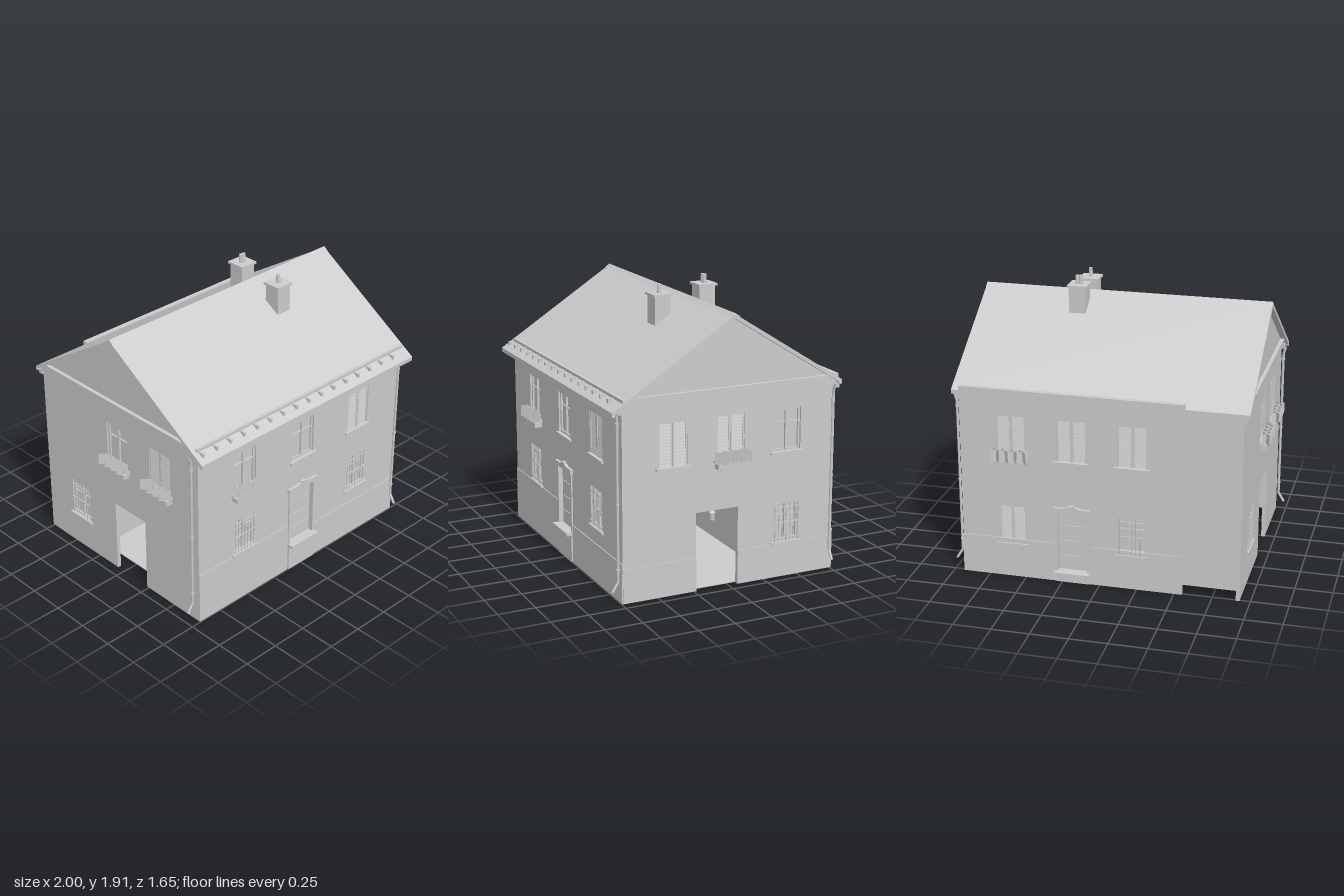
import * as THREE from 'three';

const grey = new THREE.MeshStandardMaterial({ color: 0xcccccc });
const thin = new THREE.MeshStandardMaterial({ color: 0xcccccc, side: THREE.DoubleSide });

function add(parent, name, geo, x = 0, y = 0, z = 0, mat = grey) {
  const m = new THREE.Mesh(geo, mat);
  m.name = name;
  m.position.set(x, y, z);
  parent.add(m);
  return m;
}

// Box given by its limits on each axis
function box(parent, name, x0, x1, y0, y1, z0, z1) {
  return add(parent, name, new THREE.BoxGeometry(x1 - x0, y1 - y0, z1 - z0),
    (x0 + x1) / 2, (y0 + y1) / 2, (z0 + z1) / 2);
}

const points = (pts) => pts.map((p) => new THREE.Vector2(p[0], p[1]));
const shapeOf = (pts) => new THREE.Shape(points(pts));
const rectPath = (u, w, y0, y1) => new THREE.Path(points([[u - w, y0], [u + w, y0], [u + w, y1], [u - w, y1]]));

// Wall slab whose outer face lies on local z = 0, pierced by its openings
function wall(parent, outline, openings) {
  const s = shapeOf(outline);
  openings.forEach((o) => s.holes.push(rectPath(o.u, o.w, o.y0, o.y1)));
  add(parent, 'wall', new THREE.ExtrudeGeometry(s, { depth: 0.025, bevelEnabled: false }), 0, 0, -0.025);
}

// Glazed casement: recessed pane, frame and glazing bars
function panes(g, { u, w, y0, y1 }) {
  box(g, 'pane', u - w, u + w, y0, y1, -0.03, -0.024);
  for (const s of [-1, 1]) {
    const c = u + s * (w - 0.007);
    box(g, 'frameSide', c - 0.007, c + 0.007, y0, y1, -0.025, -0.012);
  }
  box(g, 'frameTop', u - w, u + w, y1 - 0.014, y1, -0.025, -0.012);
  box(g, 'frameBottom', u - w, u + w, y0, y0 + 0.014, -0.025, -0.012);
  box(g, 'mullion', u - 0.007, u + 0.007, y0, y1, -0.025, -0.01);
  const t = y0 + (y1 - y0) * 0.68;
  box(g, 'glazingBar', u - w, u + w, t - 0.004, t + 0.004, -0.025, -0.013);
}

// Pair of closed louvred shutters
function shutters(g, { u, w, y0, y1 }) {
  box(g, 'shutterBack', u - w, u + w, y0, y1, -0.03, -0.014);
  for (const s of [-1, 1]) {
    const c = u + s * w / 2, h = w / 2;
    for (const e of [-1, 1]) {
      const k = c + e * (h - 0.006);
      box(g, 'shutterStile', k - 0.005, k + 0.005, y0, y1, -0.022, -0.004);
    }
    const n = Math.round((y1 - y0) / 0.022);
    for (let i = 0; i < n; i++) {
      const y = y0 + (i + 0.5) * (y1 - y0) / n;
      const slat = box(g, 'shutterSlat', c - h + 0.008, c + h - 0.008, y - 0.009, y + 0.009, -0.012, -0.008);
      slat.rotation.x = -0.25;
    }
  }
}

// Iron grille in front of a casement
function grille(g, o) {
  panes(g, o);
  for (let i = 0; i < 7; i++) {
    const x = o.u + (i / 6 - 0.5) * (o.w * 2 - 0.02);
    add(g, 'grilleBar', new THREE.CylinderGeometry(0.0035, 0.0035, o.y1 - o.y0, 6), x, (o.y0 + o.y1) / 2, 0.005);
  }
  for (const f of [0.1, 0.5, 0.9]) {
    const y = o.y0 + f * (o.y1 - o.y0);
    box(g, 'grilleRail', o.u - o.w, o.u + o.w, y - 0.003, y + 0.003, 0.001, 0.009);
  }
}

// Window box: tray, brackets and crossed foliage cards
function flowerBox(g, u) {
  box(g, 'flowerTray', u - 0.11, u + 0.11, 0.8, 0.835, 0, 0.05);
  for (const s of [-1, 1]) box(g, 'flowerBracket', u + s * 0.08 - 0.005, u + s * 0.08 + 0.005, 0.79, 0.8, 0, 0.045);
  for (let i = 0; i < 4; i++) {
    for (const r of [0.75, -0.75]) {
      const card = add(g, 'foliage', new THREE.PlaneGeometry(0.078, 0.08), u + (i - 1.5) * 0.059, 0.87, 0.04, thin);
      card.rotation.y = r;
    }
  }
}

// Panelled door with transom, surround, crown and doorstep
function door(g, { u, w, y0, y1 }) {
  box(g, 'doorLeaf', u - w, u + w, y0, y1, -0.03, -0.022);
  box(g, 'transom', u - w + 0.02, u + w - 0.02, y1 - 0.07, y1 - 0.015, -0.022, -0.016);
  const h = y1 - y0 - 0.1;
  for (let i = 0; i < 3; i++) {
    const y = y0 + 0.015 + i * h / 3;
    box(g, 'doorPanel', u - w + 0.025, u + w - 0.025, y, y + h / 3 - 0.02, -0.022, -0.017);
  }
  for (const s of [-1, 1]) {
    const c = u + s * (w + 0.006);
    box(g, 'doorJamb', c - 0.008, c + 0.008, y0, y1, -0.03, 0.01);
  }
  const crown = shapeOf([[-w - 0.025, 0], [w + 0.025, 0], [w + 0.025, 0.03], [0.055, 0.03], [0.035, 0.04],
    [0.02, 0.04], [0.02, 0.05], [-0.02, 0.05], [-0.02, 0.04], [-0.035, 0.04], [-0.055, 0.03], [-w - 0.025, 0.03]]);
  add(g, 'doorCrown', new THREE.ExtrudeGeometry(crown, { depth: 0.045, bevelEnabled: false }), u, y1, -0.025);
  box(g, 'doorstep', u - w - 0.018, u + w + 0.018, y0 - 0.02, y0, -0.03, 0.05);
  box(g, 'stepBase', u - w - 0.01, u + w + 0.01, 0, y0 - 0.02, -0.02, 0.012);
}

const makers = { panes, shutters, grille, door };
const upper = (u, type, flowers) => ({ u, w: 0.1, y0: 0.85, y1: 1.13, type, flowers });
const lower = (u, type, y0 = 0.24) => ({ u, w: 0.092, y0, y1: y0 + 0.26, type });

// One elevation, turned to face outwards; plinths are [from, to, height]
function facade(root, name, x, z, turn, outline, openings, plinths) {
  const g = new THREE.Group();
  g.name = name;
  g.position.set(x, 0, z);
  g.rotation.y = turn;
  wall(g, outline, openings);
  for (const o of openings) {
    makers[o.type](g, o);
    if (o.type !== 'door') box(g, 'sill', o.u - o.w - 0.018, o.u + o.w + 0.018, o.y0 - 0.014, o.y0, -0.03, 0.016);
    if (o.flowers) flowerBox(g, o.u);
  }
  plinths.forEach(([u0, u1, h]) => box(g, 'plinth', u0, u1, 0, h, -0.02, 0.006));
  root.add(g);
}

// Downpipe with a kicked-out foot; (dx, dz) points away from the wall
function downpipe(root, x, z, dx, dz) {
  const at = (d, y) => new THREE.Vector3(x + dx * d, y, z + dz * d);
  const path = new THREE.CurvePath();
  const pts = [at(0.035, 1.25), at(0.02, 1.2), at(0.02, 0.14), at(0.06, 0.075)];
  for (let i = 0; i < 3; i++) path.add(new THREE.LineCurve3(pts[i], pts[i + 1]));
  add(root, 'downpipe', new THREE.TubeGeometry(path, 60, 0.009, 8), 0, 0, 0, thin);
  for (const y of [0.22, 0.65, 1.16]) {
    add(root, 'pipeClip', new THREE.CylinderGeometry(0.013, 0.013, 0.01, 8), x + dx * 0.02, y, z + dz * 0.02);
  }
}

function chimney(root, x, z, base, top, potTop, pots) {
  const g = new THREE.Group();
  g.name = 'chimney';
  box(g, 'stack', x - 0.056, x + 0.056, base, top, z - 0.056, z + 0.056);
  box(g, 'chimneyCap', x - 0.067, x + 0.067, top, top + 0.015, z - 0.067, z + 0.067);
  pots.forEach((d) => add(g, 'chimneyPot', new THREE.CylinderGeometry(0.013, 0.015, potTop - top, 12), x + d, (top + potTop) / 2, z));
  root.add(g);
}

// Profile in (-z, y) run along the ridge
function alongRidge(root, name, profile) {
  const geo = new THREE.ExtrudeGeometry(shapeOf(profile), { depth: 1.94, bevelEnabled: false });
  add(root, name, geo, -0.97).rotation.y = Math.PI / 2;
}

function gutter(root, y, z) {
  const geo = new THREE.CylinderGeometry(0.011, 0.011, 1.94, 10);
  add(root, 'gutter', geo, 0, y, z).rotation.z = Math.PI / 2;
}

export function createModel() {
  const root = new THREE.Group();
  root.name = 'house';

  // Elevations
  const W = 0.93;
  facade(root, 'frontFacade', 0, 0.74, 0, [[-W, 0], [W, 0], [W, 1.27], [-W, 1.27]], [
    upper(-0.53, 'panes', true), upper(0, 'panes'), upper(0.53, 'shutters'),
    lower(-0.53, 'grille', 0.375), lower(0.53, 'grille', 0.375),
    { u: 0, w: 0.108, y0: 0.21, y1: 0.62, type: 'door' },
  ], [[-W, -0.125, 0.364], [0.125, W, 0.262]]);
  facade(root, 'backFacade', 0, -0.76, Math.PI, [[-W, 0], [0.55, 0], [0.55, 0.07], [W, 0.07], [W, 1.27], [-W, 1.27]], [
    upper(-0.585, 'shutters', true), upper(-0.18, 'shutters'), upper(0.22, 'shutters'),
    lower(-0.585, 'shutters'), lower(0.22, 'grille'),
    { u: -0.18, w: 0.1, y0: 0.08, y1: 0.5, type: 'door' },
  ], [[-W, -0.29, 0.27], [-0.07, 0.55, 0.27]]);
  // Gable ends, each with the gateway cut from its foot
  const gable = (g0, g1, l, r, apex) => [[l, 0], [g0, 0], [g0, 0.523], [g1, 0.523], [g1, 0], [r, 0], [r, 1.285], [apex, 1.76], [l, 1.285]];
  facade(root, 'leftFacade', W, 0, Math.PI / 2, gable(-0.233, 0.063, -0.74, 0.76, 0.01), [
    upper(-0.395, 'shutters'), upper(0.005, 'shutters', true), upper(0.41, 'panes'), lower(0.415, 'grille'),
  ], [[-0.74, -0.233, 0.228], [0.063, 0.76, 0.228]]);
  facade(root, 'rightFacade', -W, 0, -Math.PI / 2, gable(-0.063, 0.233, -0.76, 0.74, -0.01), [
    upper(-0.02, 'panes', true), upper(0.39, 'shutters', true), lower(-0.42, 'grille'),
  ], []);

  // Carriage passage through the house
  box(root, 'passageFloor', -0.82, 0.9, 0, 0.006, -0.33, 0.28);
  box(root, 'passageCeiling', -0.9, 0.9, 0.56, 0.57, -0.33, 0.28);
  box(root, 'passageBackWall', -0.82, 0.9, 0, 0.56, -0.33, -0.32);
  box(root, 'passageFrontWall', -0.82, 0.9, 0, 0.56, 0.27, 0.28);

  // Lantern hanging in the gateway
  add(root, 'lanternHook', new THREE.CylinderGeometry(0.003, 0.003, 0.07, 6), 0.86, 0.53, 0.085);
  add(root, 'lantern', new THREE.CylinderGeometry(0.019, 0.019, 0.05, 6), 0.86, 0.46, 0.085);
  add(root, 'lanternRoof', new THREE.ConeGeometry(0.024, 0.018, 6), 0.86, 0.494, 0.085);

  // Roof and ridge
  alongRidge(root, 'roof', [[0.785, 1.288], [0.01, 1.78], [-0.82, 1.25], [-0.82, 1.222], [0.01, 1.752], [0.785, 1.26]]);
  alongRidge(root, 'ridgeCap', [[-0.02, 1.764], [0.045, 1.764], [0.01, 1.787]]);

  // Eaves cornices on all four sides
  box(root, 'frontCornice', -0.95, 0.95, 1.225, 1.255, 0.73, 0.775);
  box(root, 'backCornice', -0.95, 0.95, 1.23, 1.265, -0.78, -0.75);
  for (const s of [-1, 1]) {
    box(root, 'gableCornice', s * 0.935 - 0.012, s * 0.935 + 0.012, 1.257, 1.3, -0.75, 0.73);
    box(root, 'gableCorniceCap', s * 0.94 - 0.015, s * 0.94 + 0.015, 1.3, 1.32, -0.71, 0.69);
  }

  // Gutters
  gutter(root, 1.232, 0.809);
  gutter(root, 1.268, -0.772);

  // Snow guards on both slopes
  box(root, 'frontSnowRail', -0.94, 0.955, 1.298, 1.318, 0.725, 0.745);
  for (let i = 0; i < 16; i++) {
    const x = -0.93 + i * 0.116;
    box(root, 'snowGuardBracket', x, x + 0.018, 1.275, 1.302, 0.745, 0.785);
  }
  box(root, 'backSnowRail', -0.56, 0.92, 1.285, 1.318, -0.787, -0.752);

  // Downpipes
  downpipe(root, 0.93, -0.735, 1, 0);
  downpipe(root, -0.93, 0.7, -1, 0);
  downpipe(root, 0.905, 0.74, 0, 1);

  // Chimneys
  chimney(root, 0.305, 0.195, 1.61, 1.8, 1.875, [0]);
  chimney(root, 0.295, -0.13, 1.61, 1.84, 1.912, [-0.012, 0.012]);
  return root;
}
